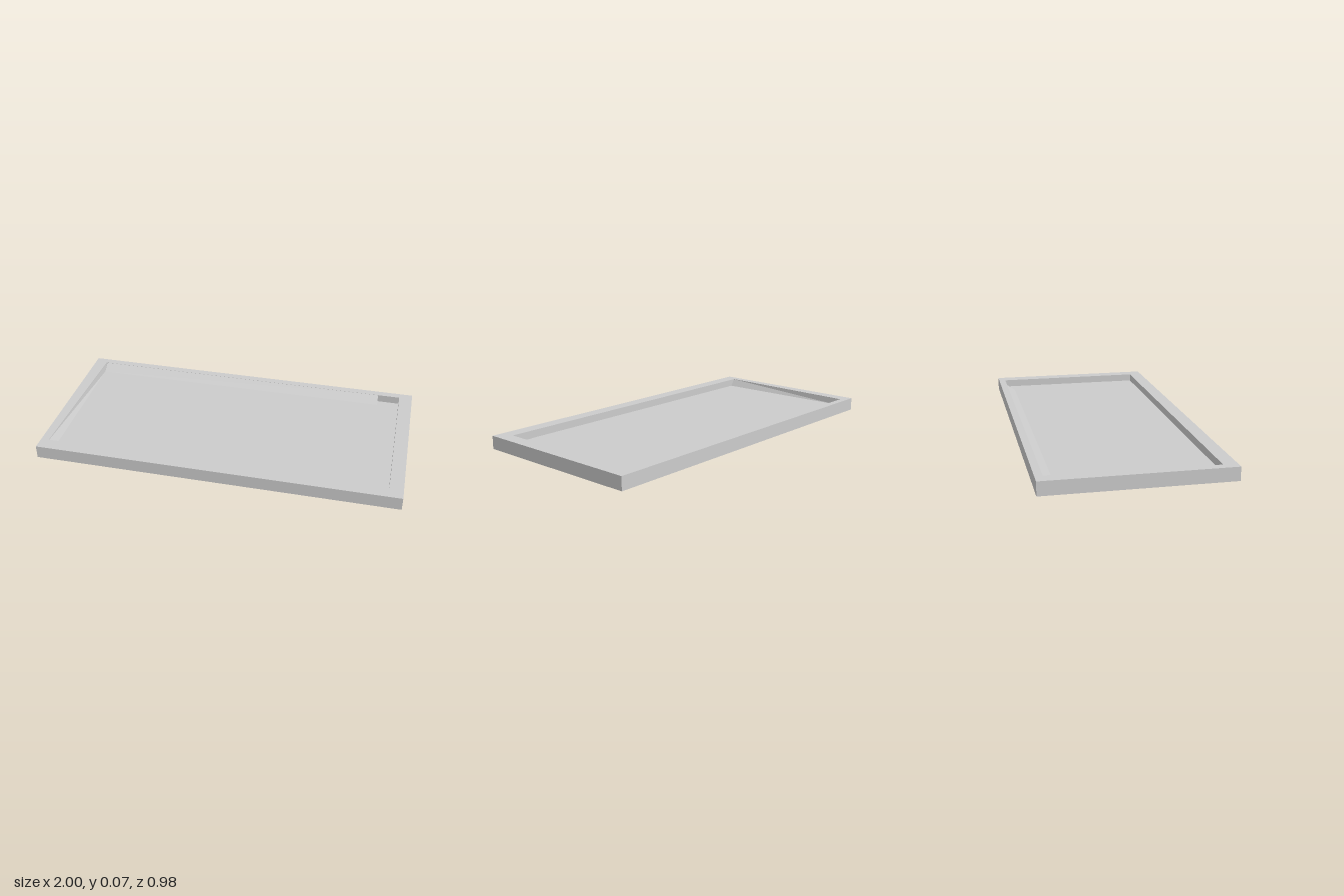
import * as THREE from 'three';

const H = 0.073; // frame height

function outline(Type, pts) {
  return new Type(pts.map(([x, z]) => new THREE.Vector2(x, -z)));
}

// Four-cornered thin sheet; corners run anticlockwise seen from above
function sheet(name, a, b, c, d, material) {
  const g = new THREE.BufferGeometry();
  g.setAttribute('position', new THREE.Float32BufferAttribute([a, b, c, a, c, d].flat(), 3));
  g.computeVertexNormals();
  const m = new THREE.Mesh(g, material);
  m.name = name;
  return m;
}

export function createModel() {
  const group = new THREE.Group();
  group.name = 'shallowTray';
  const solid = new THREE.MeshStandardMaterial({ color: 0xcccccc });
  const thin = new THREE.MeshStandardMaterial({ color: 0xcccccc, side: THREE.DoubleSide });

  // Rectangular rim with an opening that widens slightly at the front left
  const rim = outline(THREE.Shape, [[-1, 0.49], [1, 0.49], [1, -0.49], [-1, -0.49]]);
  rim.holes.push(outline(THREE.Path, [[-0.93, -0.45], [0.925, -0.45], [0.925, 0.415], [-0.955, 0.415]]));
  const rimGeometry = new THREE.ExtrudeGeometry(rim, { depth: H, bevelEnabled: false });
  rimGeometry.rotateX(-Math.PI / 2);
  const frame = new THREE.Mesh(rimGeometry, solid);
  frame.name = 'frame';
  group.add(frame);

  // Recessed floor and the slightly tilted panel lying on it
  const y = 0.03, back = 0.036, front = 0.031;
  group.add(sheet('floor', [-0.925, y, 0.415], [0.925, y, 0.415], [0.925, y, -0.45], [-0.925, y, -0.45], thin));
  group.add(sheet('panel', [-0.925, front, 0.415], [0.8, front, 0.415], [0.8, back, -0.4], [-0.925, back, -0.4], thin));

  // Flaps folded up from the panel to the rim
  const top = H - 0.001;
  group.add(sheet('backFlap', [-0.925, back, -0.4], [0.8, back, -0.4], [0.8, top, -0.45], [-0.925, top, -0.45], thin));
  group.add(sheet('rightFlap', [-0.954, top, 0.415], [-0.925, front, 0.415], [-0.925, back, -0.4], [-0.929, top, -0.45], thin));
  return group;
}
